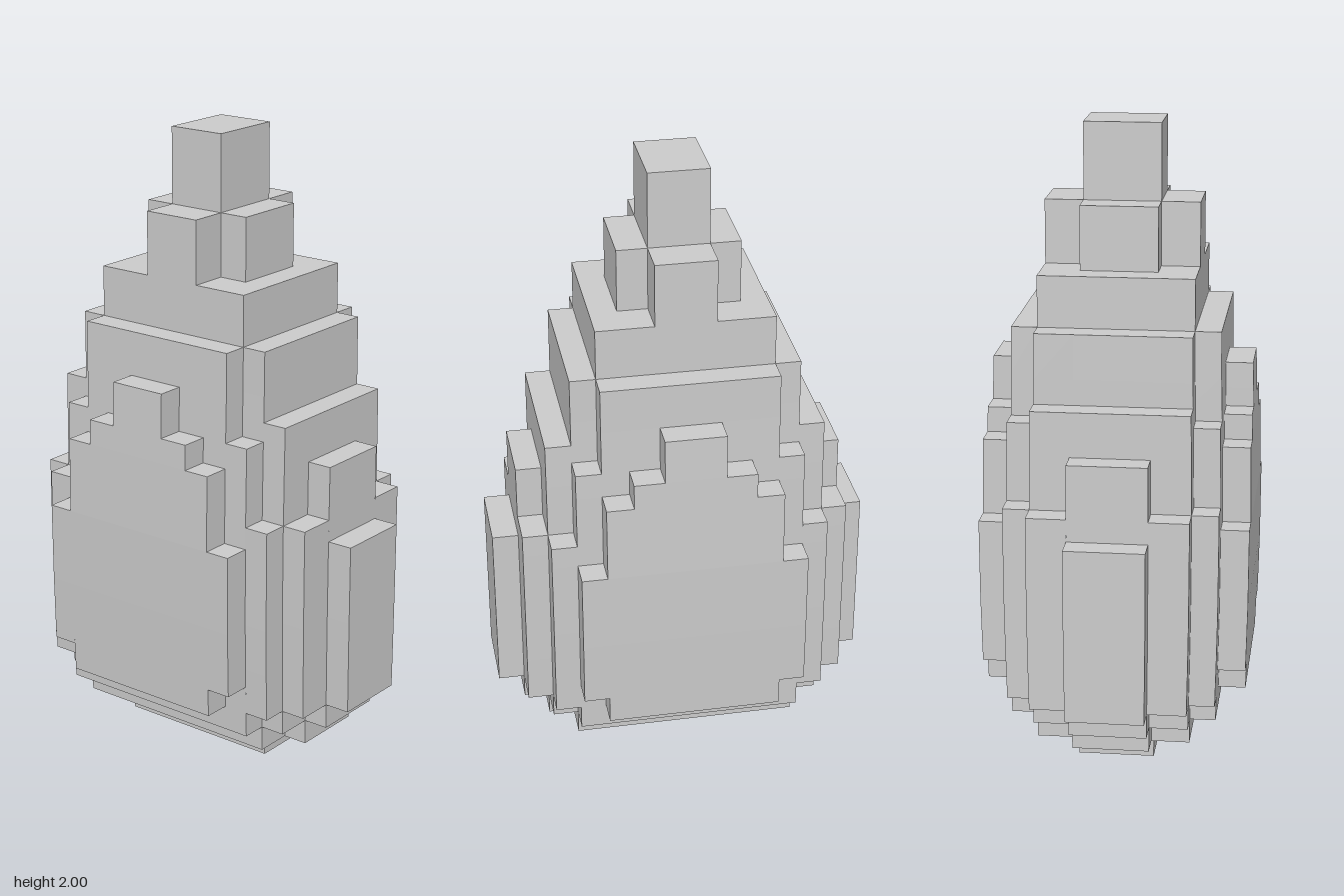
import * as THREE from 'three';

// Band edges of the stepped body, measured outward from the centre
const X = [0, 0.12, 0.24, 0.32, 0.405];
const Z = [0, 0.095, 0.19, 0.275, 0.355, 0.435, 0.515, 0.597];

// Top and bottom height of each column: one row per x band, one entry per z band
const TOP = [
  [2.0, 1.76, 1.56, 1.40, 1.18, 1.04, 0.80],
  [1.76, 1.56, 1.56, 1.40, 1.18, 0.87],
  [1.40, 1.40, 1.40, 1.12, 0.87],
  [1.26, 1.12, 1.04, 0.80],
];
const BOTTOM = [
  [0, 0, 0, 0.09, 0.09, 0.17, 0.25],
  [0.09, 0.09, 0.09, 0.09, 0.17, 0.25],
  [0.17, 0.17, 0.17, 0.17, 0.25],
  [0.25, 0.25, 0.25, 0.34],
];

// Heights at which tall walls are cut, so that they can bulge
const CUTS = [0.25, 0.4, 0.55, 0.8, 1.04, 1.12, 1.18, 1.26, 1.4, 1.56];

const mirrored = (edges) => [...edges.slice(1).reverse().map((v) => -v), ...edges];

// Gentle swelling of the sides between base and shoulder
function bulge([x, y, z]) {
  const t = THREE.MathUtils.clamp((y - 0.12) / 1.2, 0, 1);
  return [x * (1 + 0.032 * Math.sin(Math.PI * t)), y, z];
}

function bodyGeometry() {
  const xs = mirrored(X);
  const zs = mirrored(Z);
  const positions = [];

  const quad = (...corners) => {
    const p = corners.map(bulge);
    for (const i of [0, 1, 2, 0, 2, 3]) positions.push(...p[i]);
  };

  // Column [bottom, top] at grid cell i, k, or null outside the body
  const column = (i, k) => {
    const a = i < X.length - 1 ? X.length - 2 - i : i - X.length + 1;
    const b = k < Z.length - 1 ? Z.length - 2 - k : k - Z.length + 1;
    const top = TOP[a]?.[b];
    return top === undefined ? null : [BOTTOM[a][b], top];
  };

  // Vertical wall above the edge p-q, with p on the left seen from outside
  const wall = (p, q, low, high) => {
    if (high - low < 1e-4) return;
    const levels = [low, ...CUTS.filter((y) => y > low + 1e-4 && y < high - 1e-4), high];
    for (let n = 0; n < levels.length - 1; n++) {
      const [y0, y1] = [levels[n], levels[n + 1]];
      quad([p[0], y0, p[1]], [q[0], y0, q[1]], [q[0], y1, q[1]], [p[0], y1, p[1]]);
    }
  };

  for (let i = 0; i < xs.length - 1; i++) {
    for (let k = 0; k < zs.length - 1; k++) {
      const here = column(i, k);
      if (!here) continue;
      const [low, high] = here;
      const [x0, x1, z0, z1] = [xs[i], xs[i + 1], zs[k], zs[k + 1]];

      // Step tread and underside
      quad([x0, high, z1], [x1, high, z1], [x1, high, z0], [x0, high, z0]);
      quad([x0, low, z0], [x1, low, z0], [x1, low, z1], [x0, low, z1]);

      // Walls only where the neighbouring column leaves them exposed
      const sides = [
        [i, k + 1, [x0, z1], [x1, z1]],
        [i, k - 1, [x1, z0], [x0, z0]],
        [i + 1, k, [x1, z1], [x1, z0]],
        [i - 1, k, [x0, z0], [x0, z1]],
      ];
      for (const [ni, nk, p, q] of sides) {
        const next = column(ni, nk);
        if (!next) wall(p, q, low, high);
        else {
          wall(p, q, low, Math.min(high, next[0]));
          wall(p, q, Math.max(low, next[1]), high);
        }
      }
    }
  }

  const geometry = new THREE.BufferGeometry();
  geometry.setAttribute('position', new THREE.Float32BufferAttribute(positions, 3));
  geometry.computeVertexNormals();
  return geometry;
}

export function createModel() {
  const group = new THREE.Group();
  group.name = 'steppedTeardrop';
  const material = new THREE.MeshStandardMaterial({ color: 0xcccccc, flatShading: true });
  const body = new THREE.Mesh(bodyGeometry(), material);
  body.name = 'steppedBody';
  group.add(body);
  return group;
}
